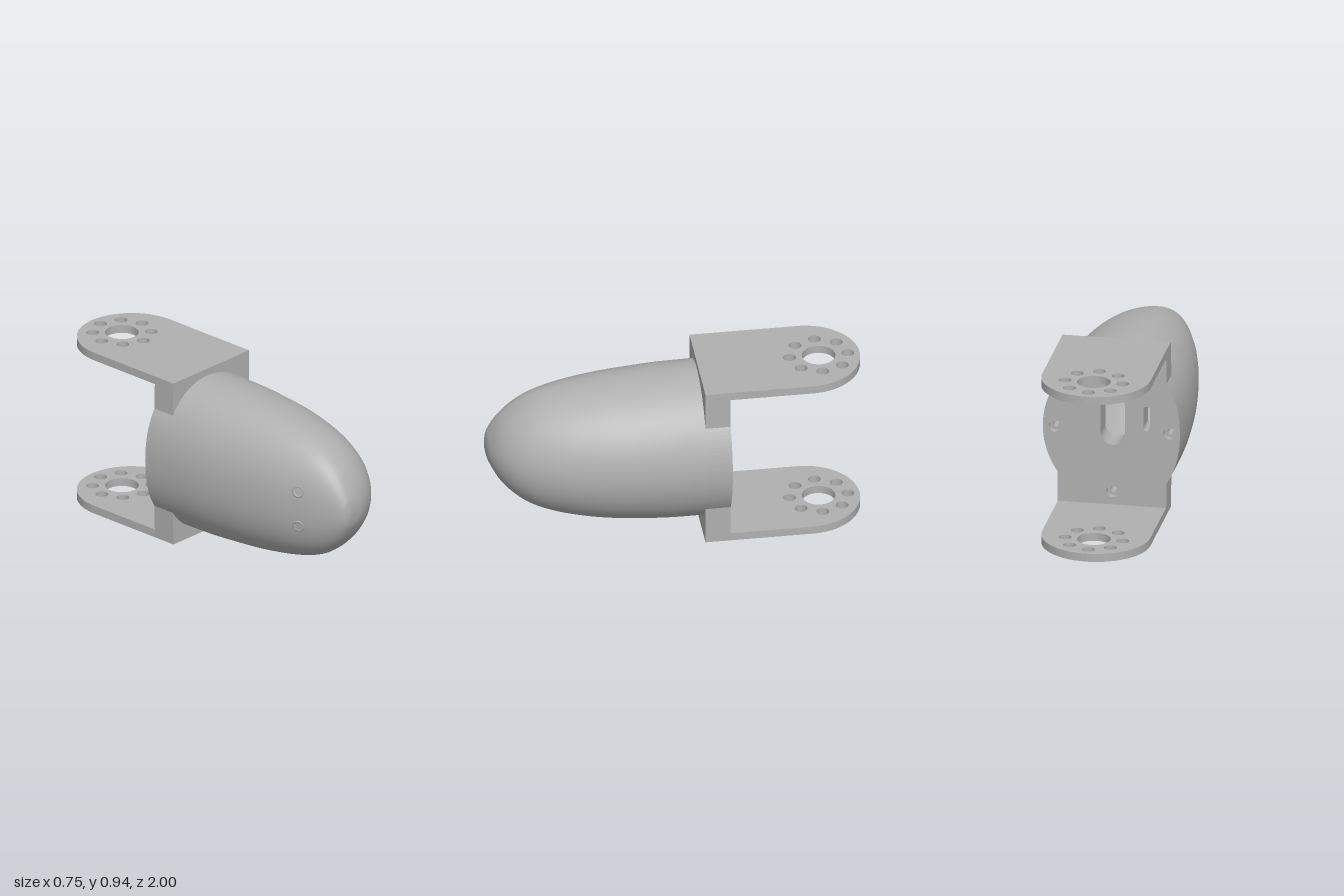
import * as THREE from 'three';

const MIDY = 0.47, X0 = -0.3, X1 = 0.285, XC = -0.0075, BACK = -0.265, FRONT = -0.13;

// Body stations: z, left edge, right edge, half height, x of the crest
const stations = [
  [-0.13, -0.375, 0.366, 0.43, -0.035], [0.05, -0.374, 0.372, 0.426, -0.035],
  [0.2, -0.366, 0.366, 0.417, -0.037], [0.4, -0.346, 0.346, 0.4, -0.042],
  [0.6, -0.312, 0.302, 0.366, -0.055], [0.75, -0.27, 0.245, 0.32, -0.07],
  [0.85, -0.236, 0.185, 0.26, -0.085], [0.93, -0.202, 0.1, 0.18, -0.1],
  [0.98, -0.172, 0.0, 0.095, -0.12], [0.995, -0.148, -0.07, 0.045, -0.125],
  [1, -0.125, -0.125, 0, -0.125],
];

// Egg-shaped section, a little squarer on the -x side
function sectionPoint(l, r, h, cx, a) {
  const c = Math.cos(a), s = Math.sin(a), e = c < 0 ? 2 / 2.2 : 1;
  const w = c < 0 ? cx - l : r - cx;
  return [cx + w * Math.sign(c) * Math.abs(c) ** e, MIDY + h * Math.sign(s) * Math.abs(s) ** e];
}

function bodyGeometry() {
  const curve = (f) => new THREE.CatmullRomCurve3(stations.map(f), false, 'catmullrom');
  const edges = curve((k) => new THREE.Vector3(k[1], k[2], k[0]));
  const crest = curve((k) => new THREE.Vector3(k[3], k[4], 0));
  const rows = 60, n = 96, pos = [], idx = [];
  for (let i = 0; i < rows; i++) {
    const e = edges.getPoint(i / rows), q = crest.getPoint(i / rows);
    for (let j = 0; j < n; j++) {
      pos.push(...sectionPoint(e.x, e.y, q.x, q.y, (j / n) * Math.PI * 2), e.z);
    }
  }
  pos.push(-0.125, MIDY, 1);
  for (let i = 0; i < rows; i++) {
    for (let j = 0; j < n; j++) {
      const a = i * n + j, b = i * n + ((j + 1) % n);
      if (i === rows - 1) idx.push(a, b, rows * n);
      else idx.push(a, b, b + n, a, b + n, a + n);
    }
  }
  const g = new THREE.BufferGeometry();
  g.setAttribute('position', new THREE.Float32BufferAttribute(pos, 3));
  g.setIndex(idx);
  g.computeVertexNormals();
  return g;
}

function circleHole(x, y, r) {
  return new THREE.Path().absarc(x, y, r, 0, Math.PI * 2, true);
}

function slotHole(x, y0, y1, w) {
  const r = w / 2, p = new THREE.Path();
  p.absarc(x, y1 - r, r, 0, Math.PI, false);
  p.absarc(x, y0 + r, r, Math.PI, Math.PI * 2, false);
  p.closePath();
  return p;
}

// Mounting plate outline: rectangle with the body section bulging from both sides
function mountShape(screwRadius) {
  const pts = [], n = 128;
  const [, l, r, h, cx] = stations[0];
  const arc = (from, to, keep) => {
    for (let i = from; i <= to; i++) {
      const p = sectionPoint(l, r, h, cx, (i / n) * Math.PI * 2);
      if (keep(p[0])) pts.push(new THREE.Vector2(...p));
    }
  };
  const corner = (x, y) => pts.push(new THREE.Vector2(x, y));
  corner(X0, 0);
  corner(X1, 0);
  arc(-n / 4, n / 4, (x) => x >= X1);
  corner(X1, 0.94);
  corner(X0, 0.94);
  arc(n / 4, (3 * n) / 4, (x) => x <= X0);
  const shape = new THREE.Shape(pts);
  shape.holes.push(slotHole(-0.012, 0.385, 0.675, 0.13), slotHole(-0.195, 0.475, 0.615, 0.036));
  for (const [x, y] of [[-0.32, MIDY], [0.3, MIDY], [-0.012, 0.12], [-0.012, 0.82]]) {
    shape.holes.push(circleHole(x, y, screwRadius));
  }
  return shape;
}

// Round-ended arm with a bearing hole and a ring of eight bolt holes
function armGeometry() {
  const R = (X1 - X0) / 2, s = new THREE.Shape();
  s.moveTo(X0, -BACK);
  s.lineTo(X1, -BACK);
  s.absarc(XC, 1 - R, R, 0, Math.PI, false);
  s.closePath();
  s.holes.push(circleHole(XC, 0.78, 0.089));
  for (let i = 0; i < 8; i++) {
    const a = (i / 8) * Math.PI * 2;
    s.holes.push(circleHole(XC + 0.156 * Math.cos(a), 0.78 + 0.156 * Math.sin(a), 0.034));
  }
  const g = new THREE.ExtrudeGeometry(s, { depth: 0.045, bevelEnabled: false, curveSegments: 32 });
  return g.rotateX(-Math.PI / 2);
}

export function createModel() {
  const model = new THREE.Group();
  const grey = new THREE.MeshStandardMaterial({ color: 0xb0b0b0, side: THREE.DoubleSide });
  grey.name = 'grey plastic';
  const add = (name, geometry, x = 0, y = 0, z = 0) => {
    const m = new THREE.Mesh(geometry, grey);
    m.name = name;
    m.position.set(x, y, z);
    model.add(m);
    return m;
  };

  add('body', bodyGeometry());

  // Mounting plate in two layers, so the screw holes are counterbored
  const layer = (r, depth) =>
    new THREE.ExtrudeGeometry(mountShape(r), { depth, bevelEnabled: false, curveSegments: 20 });
  add('mountPlateRear', layer(0.034, 0.035), 0, 0, BACK);
  add('mountPlateFront', layer(0.018, FRONT - BACK - 0.035), 0, 0, BACK + 0.035);

  add('lowerArm', armGeometry());
  add('upperArm', armGeometry(), 0, 0.895, 0);

  // Shallow screw seats on the flatter side of the nose
  const seat = [[0.033, -0.012], [0.033, 0.005], [0.027, 0.005], [0.018, 0.001], [0, 0.001]]
    .map(([r, y]) => new THREE.Vector2(r, y));
  for (const side of [-1, 1]) {
    const m = add('screwSeat', new THREE.LatheGeometry(seat, 24), -0.262, MIDY + side * 0.1, 0.745);
    const out = new THREE.Vector3(-0.93, side * 0.18, 0.32).normalize();
    m.quaternion.setFromUnitVectors(new THREE.Vector3(0, 1, 0), out);
  }
  return model;
}
